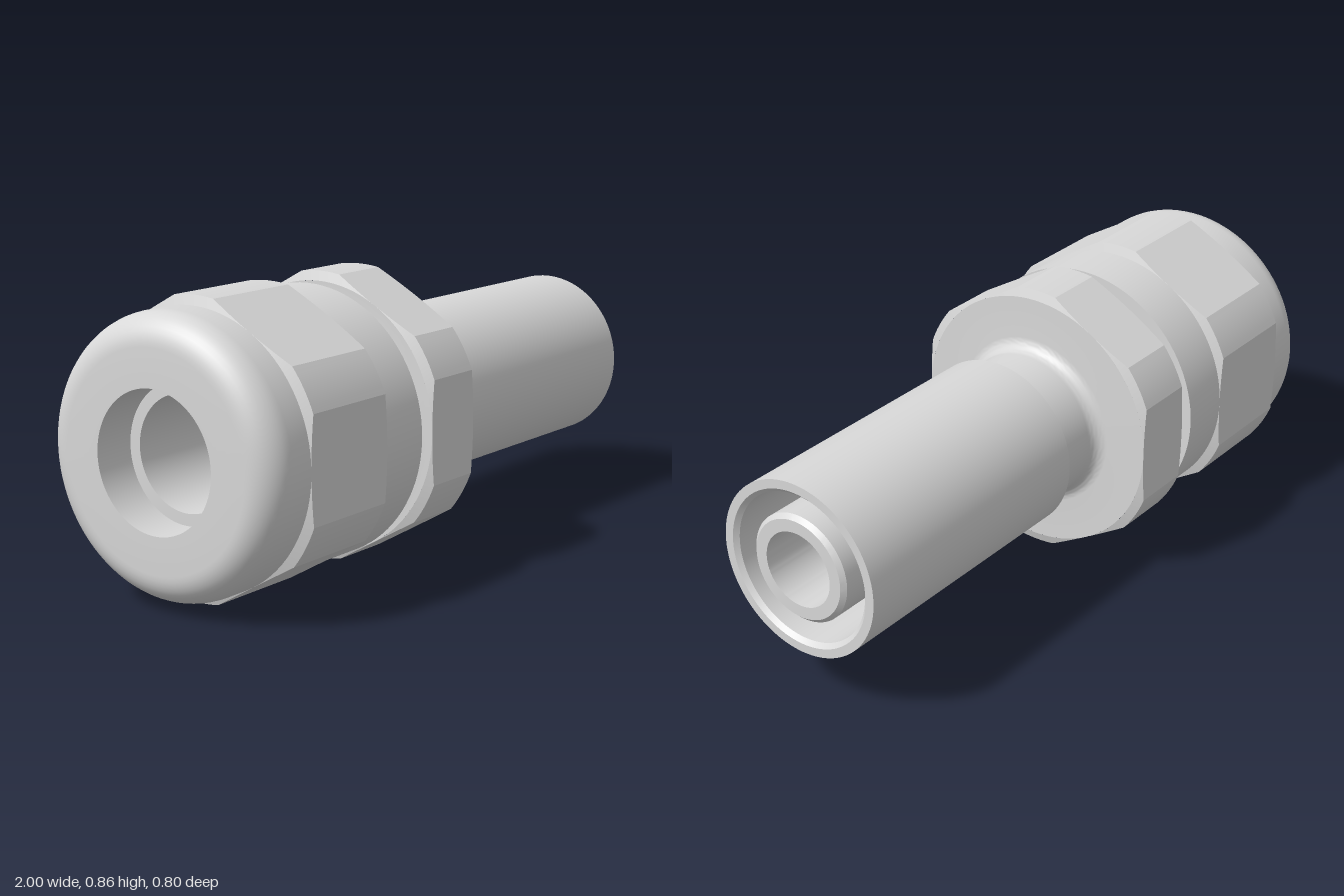
import * as THREE from 'three';
import { toCreasedNormals } from 'three/addons/utils/BufferGeometryUtils.js';

const FLAT = 0.4;     // centre to hexagon flat
const CORNER = 0.428; // radius of the turned-off corners

// Points along a quarter round, as [x along the axis, radius]
function arc(cx, cr, rad, from, to, steps = 10) {
  return Array.from({ length: steps + 1 }, (_, i) => {
    const a = (from + (to - from) * i / steps) * Math.PI / 180;
    return [cx + rad * Math.cos(a), cr + rad * Math.sin(a)];
  });
}

// Solid turned around the x axis; the closed profile runs along the outside toward +x, then back inside
function turned(name, profile, material) {
  const points = profile.map(([x, r]) => new THREE.Vector2(r, x));
  const lathe = new THREE.LatheGeometry(points, 96).rotateZ(-Math.PI / 2);
  const mesh = new THREE.Mesh(toCreasedNormals(lathe, 0.4), material);
  mesh.name = name;
  return mesh;
}

// Hexagon band with rounded corners and conical chamfers at both ends
function hexBand(name, x0, x1, material) {
  const half = Math.acos(FLAT / CORNER);
  const angles = [];
  for (let side = 0; side < 6; side++) {
    const mid = side * Math.PI / 3;
    for (let i = 0; i < 12; i++) angles.push(mid - half + 2 * half * i / 12);
    for (let i = 0; i < 6; i++) angles.push(mid + half + (Math.PI / 3 - 2 * half) * i / 6);
  }
  const rings = angles.map((a) => {
    const sector = a - Math.round(a / (Math.PI / 3)) * Math.PI / 3;
    const r = Math.min(FLAT / Math.cos(sector), CORNER);
    const inset = (r - FLAT) * 0.35;
    const at = (x, rad) => [x, rad * Math.sin(a), rad * Math.cos(a)];
    return [at(x0, FLAT), at(x0 + inset, r), at(x1 - inset, r), at(x1, FLAT)];
  });
  const pos = [];
  rings.forEach((p, i) => {
    const q = rings[(i + 1) % rings.length];
    for (let k = 0; k < 3; k++) {
      pos.push(...p[k], ...p[k + 1], ...q[k + 1], ...p[k], ...q[k + 1], ...q[k]);
    }
  });
  const geometry = new THREE.BufferGeometry();
  geometry.setAttribute('position', new THREE.Float32BufferAttribute(pos, 3));
  const mesh = new THREE.Mesh(toCreasedNormals(geometry, 0.2), material);
  mesh.name = name;
  return mesh;
}

export function createModel() {
  const steel = new THREE.MeshStandardMaterial({ color: 0xd8d8d8 });
  steel.name = 'steel grey';
  const group = new THREE.Group();
  group.name = 'tubeFitting';

  // Cap nut with rounded rim and stepped opening
  group.add(turned('capNut', [
    [-1, 0.2], ...arc(-0.91, 0.31, 0.09, 180, 90),
    [-0.83, FLAT], [-0.82, 0.39], [-0.51, 0.39], [-0.5, FLAT],
    [-0.33, FLAT], [-0.33, 0.165], [-0.87, 0.165], [-0.87, 0.2], [-1, 0.2],
  ], steel));
  group.add(hexBand('capNutHexagon', -0.835, -0.497, steel));

  // Body: groove behind the nut, hexagon shoulder, neck with fillet
  group.add(turned('body', [
    [-0.6, 0.113], [-0.6, 0.17], [-0.34, 0.17], [-0.34, 0.325],
    ...arc(-0.295, 0.34, 0.015, -90, 0, 5), [-0.28, FLAT],
    [-0.27, 0.39], [-0.08, 0.39], [-0.07, FLAT],
    ...arc(-0.03, 0.27, 0.04, 180, 270), [0.13, 0.23], [0.13, 0.113], [-0.6, 0.113],
  ], steel));
  group.add(hexBand('bodyHexagon', -0.28, -0.07, steel));

  // Outer sleeve, hollow toward the open end
  group.add(turned('sleeve', [
    [0.115, 0.2], [0.115, 0.265], [1, 0.265], [1, 0.238], [0.987, 0.225],
    [0.5, 0.225], [0.5, 0.15], [0.115, 0.15], [0.115, 0.2],
  ], steel));

  // Inner tube inside the sleeve
  group.add(turned('innerTube', [
    [0.12, 0.113], [0.12, 0.163], [0.987, 0.163], [1, 0.15], [1, 0.113], [0.12, 0.113],
  ], steel));

  group.position.y = CORNER;
  return group;
}
